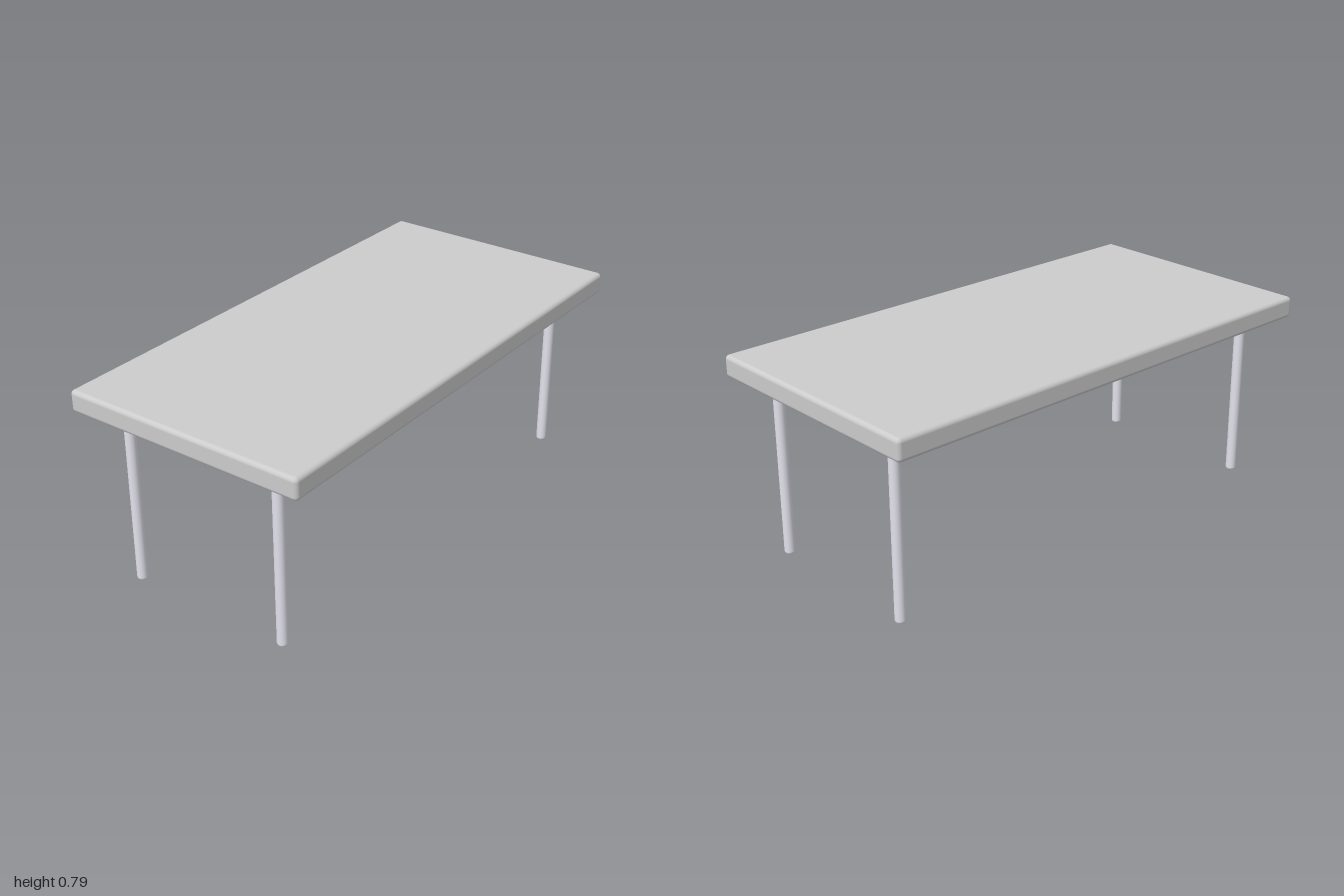
import * as THREE from 'three';
import { RoundedBoxGeometry } from 'three/addons/geometries/RoundedBoxGeometry.js';

const TOP_Y = 0.785, THICK = 0.087, LEG_R = 0.021;

export function createModel() {
  const table = new THREE.Group();
  table.name = 'table';
  const topMaterial = new THREE.MeshStandardMaterial({ color: 0xcccccc });
  const legMaterial = new THREE.MeshStandardMaterial({ color: 0xe2e1ec });

  // Slab with softly rounded edges
  const top = new THREE.Mesh(new RoundedBoxGeometry(2, THICK, 1, 4, 0.017), topMaterial);
  top.name = 'tableTop';
  top.position.y = TOP_Y - THICK / 2;
  table.add(top);

  // Round leg profile: rounded foot, straight shaft, end just inside the slab
  const bevel = 0.014;
  const profile = [new THREE.Vector2(0, 0)];
  for (let i = 0; i <= 4; i++) {
    const a = (i / 4) * Math.PI / 2;
    profile.push(new THREE.Vector2(LEG_R - bevel + bevel * Math.sin(a), bevel - bevel * Math.cos(a)));
  }
  profile.push(new THREE.Vector2(LEG_R, TOP_Y - THICK + 0.01));
  const legGeometry = new THREE.LatheGeometry(profile, 24);

  // Four legs, mirrored about both axes
  for (const [side, x] of [['Left', 0.89], ['Right', -0.89]]) {
    for (const [end, z] of [['front', 0.333], ['back', -0.333]]) {
      const leg = new THREE.Mesh(legGeometry, legMaterial);
      leg.name = `${end}${side}Leg`;
      leg.position.set(x, 0, z);
      table.add(leg);
    }
  }
  return table;
}
